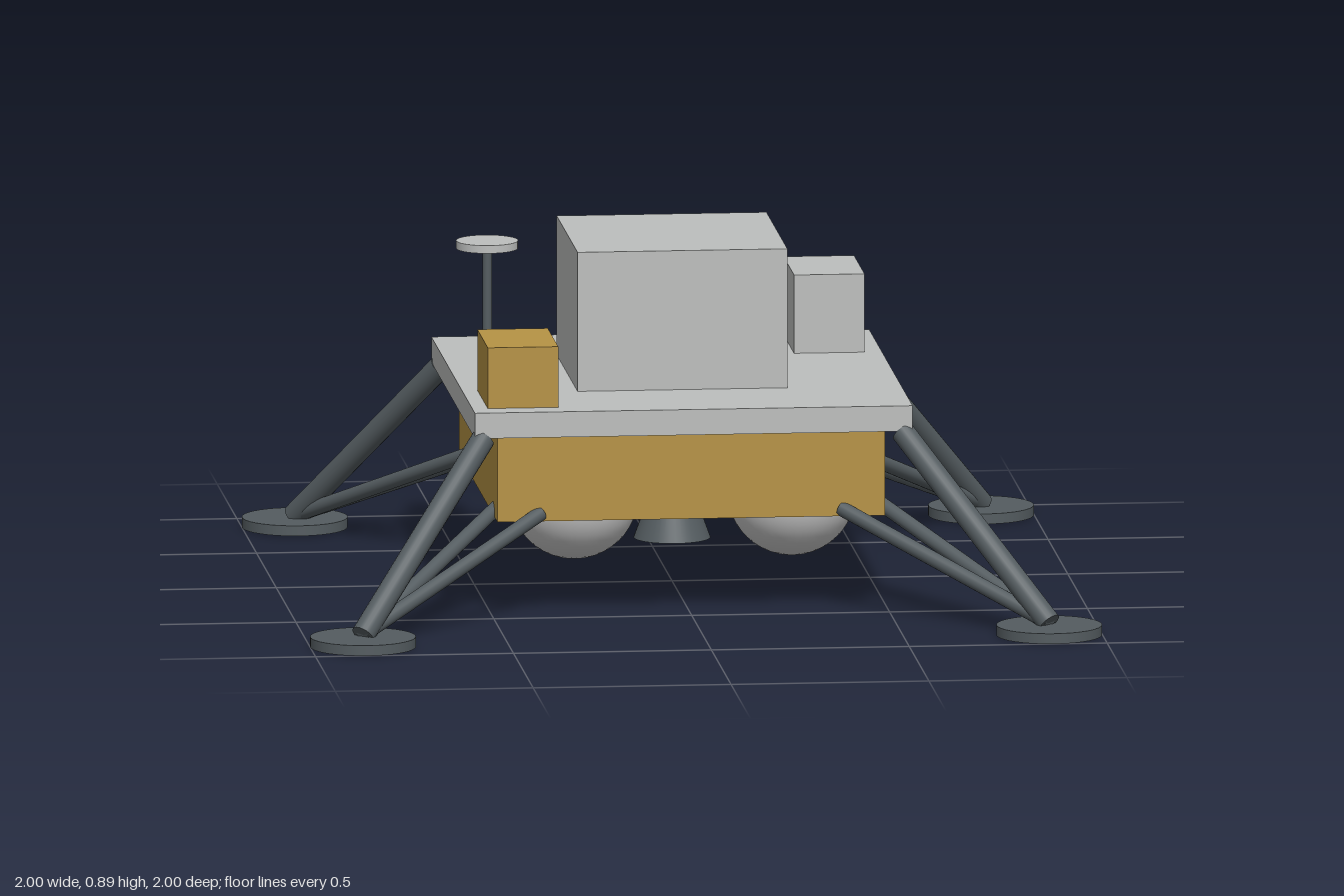
import * as THREE from 'three';

const material = (name, color) => {
  const m = new THREE.MeshStandardMaterial({ color });
  m.name = name;
  return m;
};

export function createModel() {
  const group = new THREE.Group();
  const grey = material('light grey', 0xbdbfbe);
  const silver = material('silver', 0xc8c8c8);
  const gold = material('gold foil', 0xb69345);
  const dark = material('dark metal', 0x545c60);
  const blue = material('solar blue', 0x2c3a6a);

  const add = (name, geometry, mat, x = 0, y = 0, z = 0) => {
    const mesh = new THREE.Mesh(geometry, mat);
    mesh.name = name;
    mesh.position.set(x, y, z);
    group.add(mesh);
    return mesh;
  };
  // Box given by its centre in x and z, and its bottom and top
  const box = (name, mat, x, z, w, d, y0, y1) =>
    add(name, new THREE.BoxGeometry(w, y1 - y0, d), mat, x, (y0 + y1) / 2, z);
  // Upright round part between two heights
  const round = (name, mat, x, z, rTop, rBottom, y0, y1) =>
    add(name, new THREE.CylinderGeometry(rTop, rBottom, y1 - y0, 40), mat, x, (y0 + y1) / 2, z);
  // Round rod between two points
  const rod = (name, a, b, r) => {
    const dir = b.clone().sub(a);
    const mesh = add(name, new THREE.CylinderGeometry(r, r, dir.length(), 20), dark);
    mesh.position.copy(a).add(b).multiplyScalar(0.5);
    mesh.quaternion.setFromUnitVectors(new THREE.Vector3(0, 1, 0), dir.normalize());
  };

  // Descent body, deck and the boxes on it
  box('body', gold, 0, 0, 0.98, 0.98, 0.245, 0.47);
  box('deck', grey, 0, 0, 1.106, 1.106, 0.47, 0.535);
  box('cabin', grey, 0, 0, 0.53, 0.53, 0.535, 0.89);
  box('goldEquipmentBox', gold, -0.425, 0.355, 0.178, 0.267, 0.535, 0.69);
  box('greyEquipmentBox', grey, 0.42, -0.36, 0.178, 0.267, 0.535, 0.735);
  box('solarPanel', blue, 0.493, 0, 0.009, 0.714, 0.28, 0.447);

  // Antenna
  round('antennaMast', dark, -0.425, -0.425, 0.012, 0.012, 0.535, 0.785);
  round('antennaDish', grey, -0.425, -0.425, 0.078, 0.078, 0.782, 0.802);

  // Engine nozzle
  round('engineNozzle', dark, 0, 0, 0.043, 0.097, 0.112, 0.26);

  // Tanks and landing legs at the four corners
  for (const sx of [-1, 1]) for (const sz of [-1, 1]) {
    const at = (x, y, z) => new THREE.Vector3(x * sx, y, z * sz);
    add('tank', new THREE.SphereGeometry(0.163, 40, 24), silver, 0.275 * sx, 0.275, 0.275 * sz);
    const foot = at(0.867, 0.03, 0.867);
    rod('mainStrut', foot, at(0.53, 0.465, 0.53), 0.03);
    rod('sideStrut', foot, at(0.38, 0.263, 0.48), 0.019);
    rod('sideStrut', foot, at(0.48, 0.263, 0.38), 0.019);
    round('footPad', dark, 0.867 * sx, 0.867 * sz, 0.133, 0.133, 0, 0.026);
  }
  return group;
}
